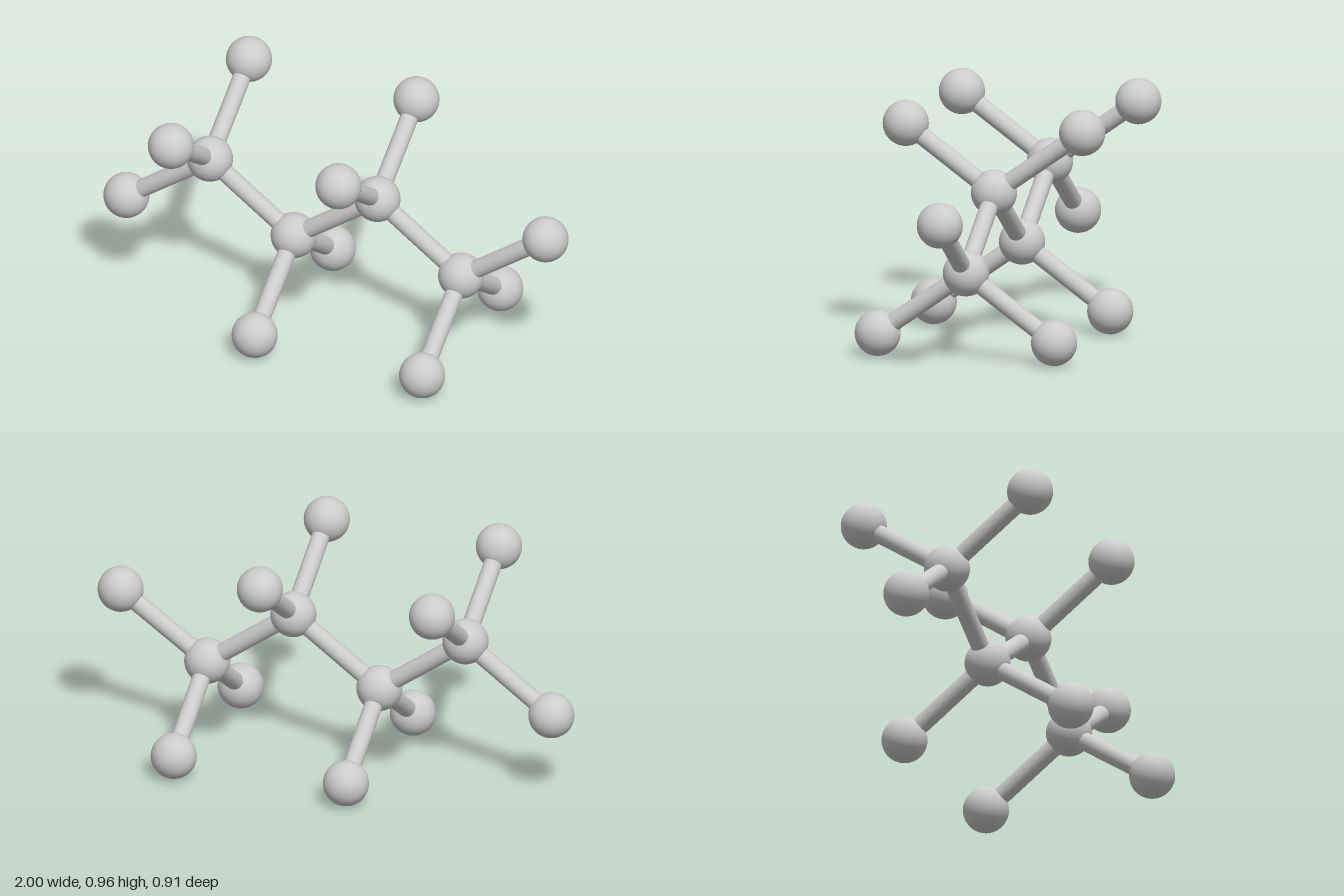
import * as THREE from 'three';

const BALL_RADIUS = 0.091;
const ROD_RADIUS = 0.036;

export function createModel() {
  const model = new THREE.Group();
  model.name = 'ballAndStickMolecule';
  const material = new THREE.MeshStandardMaterial({ color: 0xcccccc });
  const ballGeometry = new THREE.SphereGeometry(BALL_RADIUS, 48, 32);
  const up = new THREE.Vector3(0, 1, 0);

  function addBall(name, position) {
    const ball = new THREE.Mesh(ballGeometry, material);
    ball.name = name;
    ball.position.copy(position);
    model.add(ball);
  }

  // Rod running from the centre of one ball to the centre of another
  function addRod(name, from, to) {
    const direction = to.clone().sub(from);
    const geometry = new THREE.CylinderGeometry(ROD_RADIUS, ROD_RADIUS, direction.length(), 32, 1, true);
    const rod = new THREE.Mesh(geometry, material);
    rod.name = name;
    rod.position.copy(from).add(to).multiplyScalar(0.5);
    rod.quaternion.setFromUnitVectors(up, direction.normalize());
    model.add(rod);
  }

  // Zigzag backbone of four balls
  const chain = [-0.546, -0.182, 0.182, 0.546].map(
    (x, i) => new THREE.Vector3(x, i % 2 === 0 ? 0.614 : 0.354, 0));

  chain.forEach((centre, i) => {
    addBall('chainBall', centre);
    if (i > 0) addRod('chainRod', chain[i - 1], centre);

    // Front and back side balls, alternately raised and lowered
    for (const side of [1, -1]) {
      const outer = new THREE.Vector3(centre.x, i % 2 === 0 ? 0.873 : 0.095, side * 0.365);
      addBall('sideBall', outer);
      addRod('sideRod', centre, outer);
    }
  });

  // Balls closing both ends of the chain
  const ends = [
    [chain[0], new THREE.Vector3(-0.909, 0.354, 0)],
    [chain[3], new THREE.Vector3(0.909, 0.609, -0.008)],
  ];
  for (const [centre, outer] of ends) {
    addBall('endBall', outer);
    addRod('endRod', centre, outer);
  }

  return model;
}
